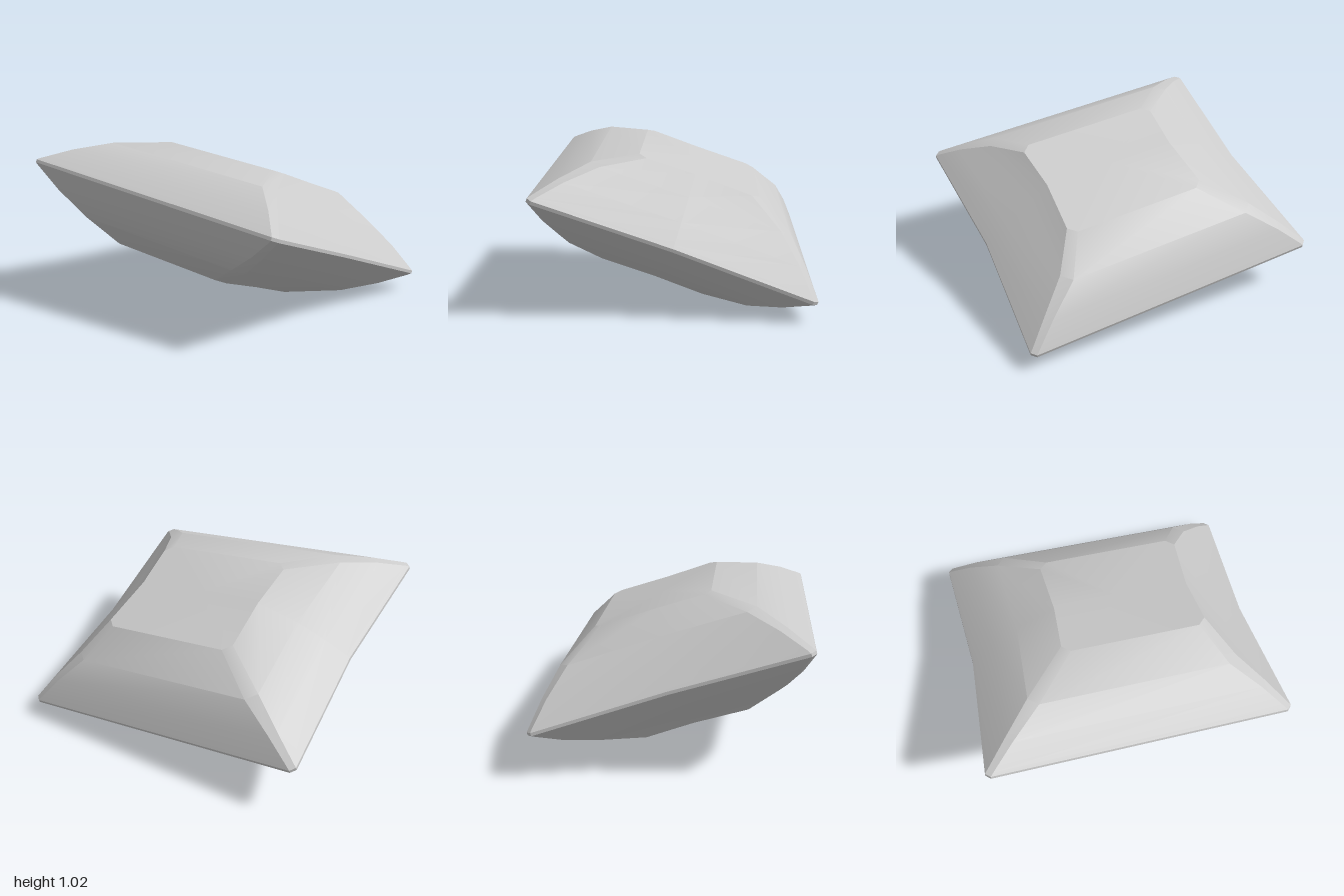
import * as THREE from 'three';
import { toCreasedNormals } from 'three/addons/utils/BufferGeometryUtils.js';

// Rings of the upper half: [uMin, uMax, vMin, vMax, height, corner cut]
const upper = [
  [-0.39, 0.53, -0.41, 0.36, 0.37, 0.05],
  [-0.65, 0.67, -0.64, 0.615, 0.255, 0.06],
  [-0.82, 0.83, -0.765, 0.755, 0.137, 0.04],
  [-0.95, 0.95, -0.86, 0.86, 0.028, 0.03],
  [-0.97, 0.97, -0.875, 0.875, 0.01, 0.03],
];

// The underside is the upper half turned through the centre
const lower = upper.map(([a, b, c, d, h, cut]) => [-b, -a, -d, -c, -h, cut]).reverse();

// Ten points around one ring, counterclockwise from above, sides pinched at the middle
function ringPoints([u0, u1, v0, v1, h, c]) {
  const pinch = 0.95;
  return [
    [u1 - c, v1], [u1, v1 - c], [u1 * pinch, 0], [u1, v0 + c], [u1 - c, v0],
    [u0 + c, v0], [u0, v0 + c], [u0 * pinch, 0], [u0, v1 - c], [u0 + c, v1],
  ].map(([u, v]) => [u, h, v]);
}

function cushionGeometry() {
  const rings = [...upper, ...lower].map(ringPoints);
  const n = rings[0].length;
  const positions = rings.flat(2);
  const index = [];
  for (let i = 0; i < rings.length - 1; i++) {
    for (let j = 0; j < n; j++) {
      const k = (j + 1) % n;
      const a = i * n + j, b = i * n + k, c = a + n, d = b + n;
      index.push(c, d, b, c, b, a);
    }
  }
  // Flat top and bottom panels
  const top = rings.length * n, bottom = top + 1, last = (rings.length - 1) * n;
  positions.push(0.05, upper[0][4], 0, -0.05, -upper[0][4], 0);
  for (let j = 0; j < n; j++) {
    const k = (j + 1) % n;
    index.push(top, j, k, bottom, last + k, last + j);
  }
  const geometry = new THREE.BufferGeometry();
  geometry.setAttribute('position', new THREE.Float32BufferAttribute(positions, 3));
  geometry.setIndex(index);

  // Lean the cushion: width, thickness and depth directions, slightly skewed
  const tilt = new THREE.Matrix4().makeBasis(
    new THREE.Vector3(0.993, -0.111, 0.044),
    new THREE.Vector3(0.118, 0.936, -0.334),
    new THREE.Vector3(-0.04, 0.335, 0.942),
  ).setPosition(0, 0.517, 0);
  geometry.applyMatrix4(tilt);
  return toCreasedNormals(geometry, 0.35);
}

export function createModel() {
  const group = new THREE.Group();
  group.name = 'throwPillow';
  const cushion = new THREE.Mesh(
    cushionGeometry(),
    new THREE.MeshStandardMaterial({ color: 0xcccccc }),
  );
  cushion.name = 'cushion';
  group.add(cushion);
  return group;
}
